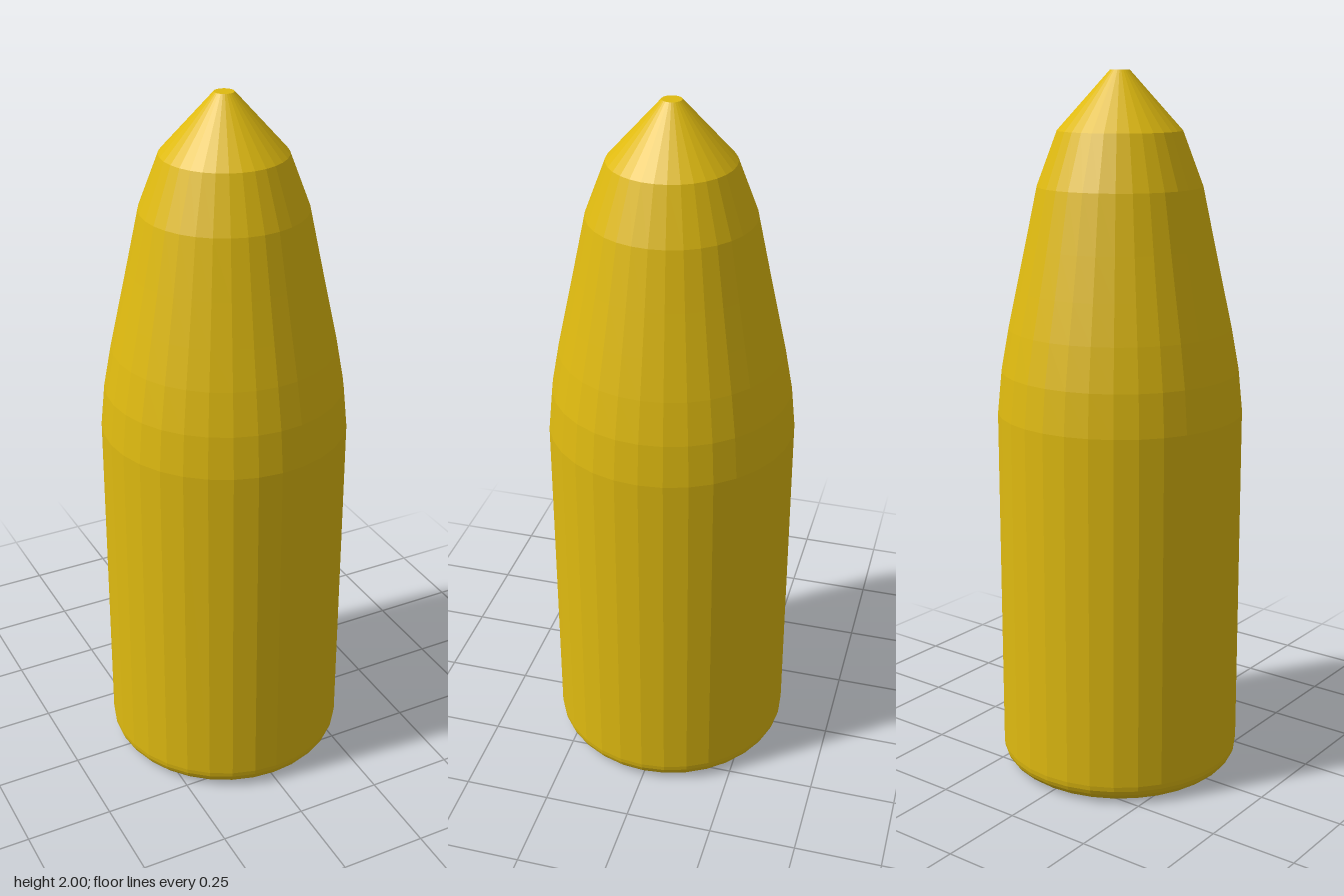
import * as THREE from 'three';

const SIDES = 32;
const RADIUS = 0.347;

export function createModel() {
  const group = new THREE.Group();
  group.name = 'bullet';
  const material = new THREE.MeshStandardMaterial({ color: 0xdfba10, flatShading: true });

  const addLathe = (name, points) => {
    const profile = points.map(([r, y]) => new THREE.Vector2(r, y));
    const mesh = new THREE.Mesh(new THREE.LatheGeometry(profile, SIDES), material);
    mesh.name = name;
    group.add(mesh);
  };

  // Straight casing with a flat bottom and a rounded lower rim
  const fillet = 0.055;
  const casing = [[0, 0]];
  for (let i = 0; i <= 6; i++) {
    const a = (i / 6) * Math.PI / 2;
    casing.push([RADIUS - fillet * (1 - Math.sin(a)), fillet * (1 - Math.cos(a))]);
  }
  casing.push([RADIUS, 1.06]);
  addLathe('casing', casing);

  // Tapering shoulder, stepping in ring by ring
  addLathe('taperedNose', [
    [RADIUS, 1.06], [0.335, 1.18], [0.313, 1.3], [0.289, 1.41],
    [0.263, 1.53], [0.229, 1.69], [0.172, 1.84],
  ]);

  // Conical tip with a small flat end
  addLathe('tip', [[0.172, 1.84], [0.027, 2], [0, 2]]);

  return group;
}
